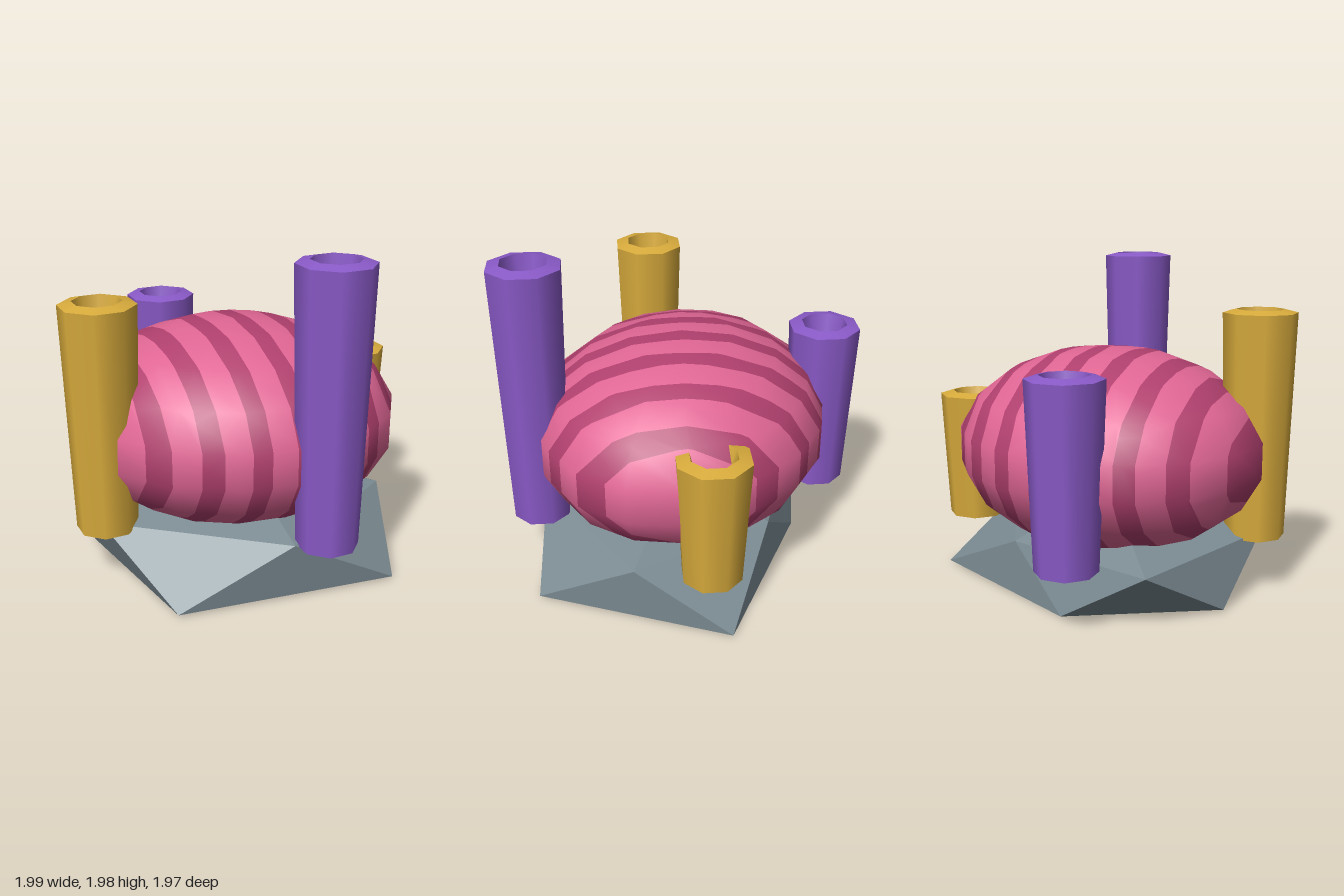
import * as THREE from 'three';
import { mergeGeometries } from 'three/addons/utils/BufferGeometryUtils.js';

const mat = (name, color, extra = {}) => {
  const m = new THREE.MeshStandardMaterial({ color, ...extra });
  m.name = name;
  return m;
};

// Faceted rock: two staggered five-sided rings and a low peak
function rockGeometry() {
  const lower = [[0.91, 0.015, 0.61], [-0.36, 0.015, 0.96], [-0.9, 0.01, 0.05], [-0.3, 0, -0.67], [0.88, 0.01, -0.59]];
  const upper = [[0.3, 0.355, 0.82], [-0.81, 0.36, 0.5], [-0.83, 0.33, -0.53], [0.17, 0.32, -0.61], [0.91, 0.35, 0]];
  const peak = [0, 0.6, 0], floor = [0, 0.01, 0];
  const pos = [];
  for (let i = 0; i < 5; i++) {
    const j = (i + 1) % 5;
    pos.push(...lower[i], ...lower[j], ...floor);
    pos.push(...lower[i], ...upper[i], ...lower[j]);
    pos.push(...lower[j], ...upper[i], ...upper[j]);
    pos.push(...upper[i], ...peak, ...upper[j]);
  }
  // Rings run clockwise seen from above, so flip every triangle outward
  for (let i = 0; i < pos.length; i += 9) {
    const [a, b, c] = [0, 3, 6].map(k => new THREE.Vector3().fromArray(pos, i + k));
    const n = b.clone().sub(a).cross(c.clone().sub(a));
    const out = a.clone().add(b).add(c).divideScalar(3).sub(new THREE.Vector3(0, 0.2, 0));
    if (n.dot(out) < 0) {
      c.toArray(pos, i + 3);
      b.toArray(pos, i + 6);
    }
  }
  const g = new THREE.BufferGeometry();
  g.setAttribute('position', new THREE.Float32BufferAttribute(pos, 3));
  g.computeVertexNormals();
  return g;
}

// Keep the part of a polygon where sign * (u - limit) >= 0
function clip(poly, limit, sign) {
  const out = [];
  poly.forEach((a, i) => {
    const b = poly[(i + 1) % poly.length];
    const da = sign * (a.u - limit), db = sign * (b.u - limit);
    if (da >= 0) out.push(a);
    if ((da > 0 && db < 0) || (da < 0 && db > 0)) {
      const t = da / (da - db);
      out.push({ p: a.p.clone().lerp(b.p, t), n: a.n.clone().lerp(b.n, t).normalize(), u: limit });
    }
  });
  return out;
}

// Ellipsoid sliced by slanted upright planes into light and dark bands
function bandedDome() {
  const g = new THREE.SphereGeometry(1, 16, 9).scale(1, 0.615, 0.89).translate(-0.01, 0.84, 0.01).toNonIndexed();
  const P = g.attributes.position, N = g.attributes.normal;
  const period = 0.265, half = 0.057, first = -1.02;
  const bands = [{ pos: [], nor: [] }, { pos: [], nor: [] }];
  const add = (poly, { pos, nor }) => {
    for (let k = 1; k < poly.length - 1; k++)
      for (const v of [poly[0], poly[k], poly[k + 1]]) {
        pos.push(...v.p.toArray());
        nor.push(...v.n.toArray());
      }
  };
  for (let i = 0; i < P.count; i += 3) {
    const tri = [0, 1, 2].map(k => {
      const p = new THREE.Vector3().fromBufferAttribute(P, i + k);
      return { p, n: new THREE.Vector3().fromBufferAttribute(N, i + k), u: p.x - 0.39 * p.z };
    });
    for (let s = -1; s < 8; s++) {
      const c = first + s * period;
      add(clip(clip(tri, c - half, 1), c + half, -1), bands[1]);
      add(clip(clip(tri, c + half, 1), c + period - half, -1), bands[0]);
    }
  }
  return bands.map(({ pos, nor }) => {
    const b = new THREE.BufferGeometry();
    b.setAttribute('position', new THREE.Float32BufferAttribute(pos, 3));
    b.setAttribute('normal', new THREE.Float32BufferAttribute(nor, 3));
    return b;
  });
}

// Eight-sided flared tube with a bevelled lip and a tapering hollow
function tubeGeometry(top) {
  const base = 0.34, h = top - base;
  const profile = [[0, base], [0.18, base], [0.22, top - 0.02], [0.14, top], [0.095, top - 0.18 * h], [0, top - 0.5 * h]]
    .map(([r, y]) => new THREE.Vector2(r, y));
  return mergeGeometries(profile.slice(1).map((p, i) => new THREE.LatheGeometry([profile[i], p], 8)));
}

export function createModel() {
  const group = new THREE.Group();
  const add = (name, geometry, material) => {
    const m = new THREE.Mesh(geometry, material);
    m.name = name;
    group.add(m);
    return m;
  };
  const rock = mat('rockGrey', 0x7b8b92, { flatShading: true });
  const pink = mat('coralPink', 0xe06694);
  const darkPink = mat('stripePink', 0xb0406e);
  const gold = mat('tubeGold', 0xd8ab3c);
  const purple = mat('tubePurple', 0x8a5ac8);

  add('rockBase', rockGeometry(), rock);

  const [light, dark] = bandedDome();
  add('coralDome', light, pink);
  add('coralStripes', dark, darkPink);

  // Tubes around the dome: x, z, top height
  [
    ['frontLeftTube', 0.485, 0.76, 1.98, purple],
    ['frontRightTube', -0.77, 0.485, 1.7, gold],
    ['backRightTube', -0.46, -0.765, 1.42, purple],
    ['backLeftTube', 0.775, -0.425, 1.14, gold],
  ].forEach(([name, x, z, top, material]) => add(name, tubeGeometry(top), material).position.set(x, 0, z));

  return group;
}
